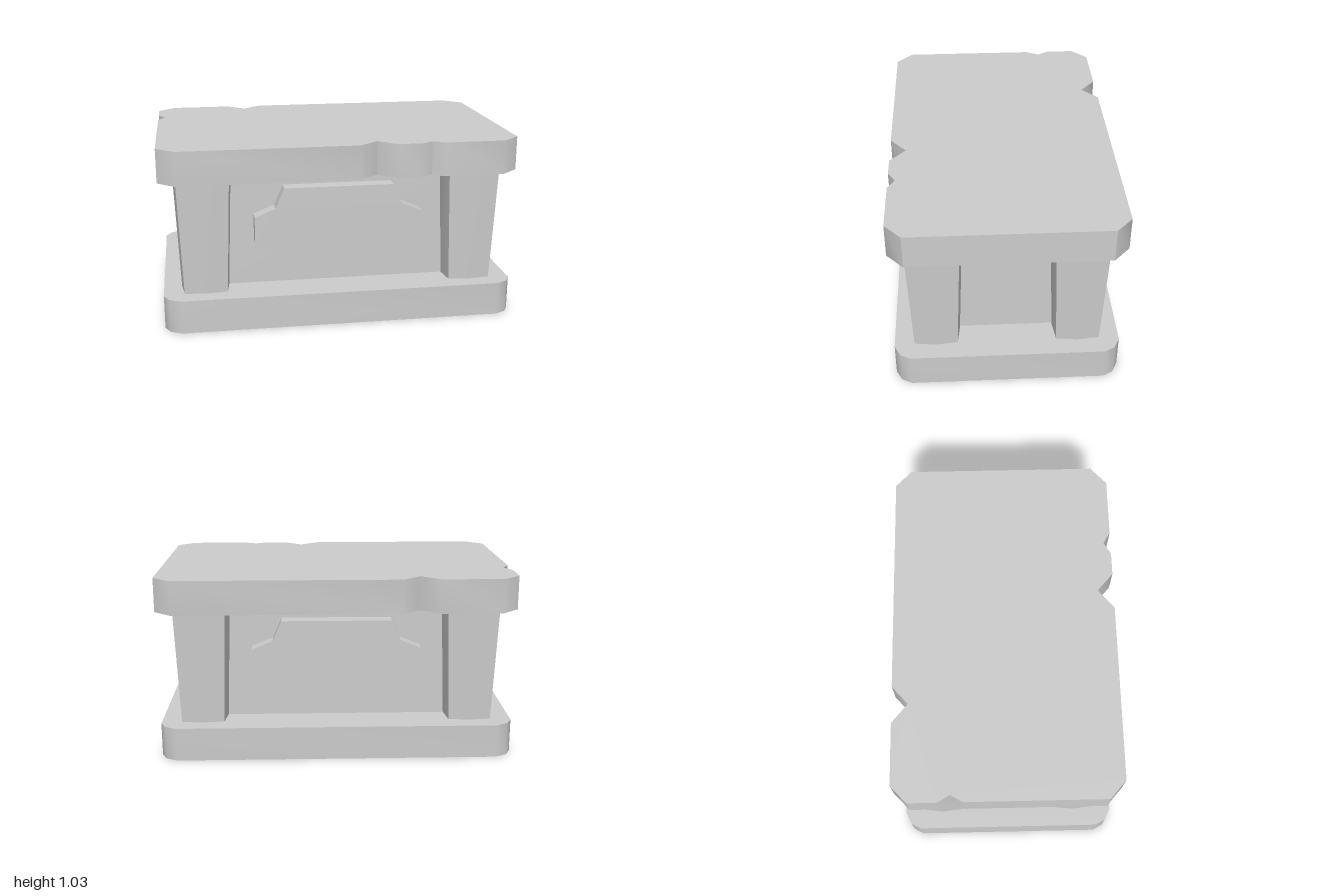
import * as THREE from 'three';
import { toCreasedNormals } from 'three/addons/utils/BufferGeometryUtils.js';

const material = new THREE.MeshStandardMaterial({ color: 0xcccccc });

function add(parent, name, geometry, crease = 0.8) {
  const mesh = new THREE.Mesh(toCreasedNormals(geometry, crease), material);
  mesh.name = name;
  parent.add(mesh);
  return mesh;
}

function extrude(points, depth) {
  const shape = new THREE.Shape(points.map(([x, y]) => new THREE.Vector2(x, y)));
  return new THREE.ExtrudeGeometry(shape, { depth, bevelEnabled: false });
}

// Horizontal slab from an (x, z) outline, rising from y = bottom
function slab(outline, bottom, height) {
  return extrude(outline.map(([x, z]) => [x, -z]), height)
    .rotateX(-Math.PI / 2)
    .translate(0, bottom, 0);
}

// Square pillar with slightly bowed sides, wider at the top
function pillarGeometry() {
  const g = new THREE.CylinderGeometry(1, 1, 0.65, 8, 1);
  const p = g.attributes.position;
  for (let i = 0; i < p.count; i++) {
    const x = p.getX(i), z = p.getZ(i), top = p.getY(i) > 0;
    const corner = Math.abs(x) > 0.1 && Math.abs(z) > 0.1;
    const r = corner ? (top ? 0.144 : 0.12) * Math.SQRT2 : (top ? 0.16 : 0.134);
    p.setX(i, x * r);
    p.setZ(i, z * r);
  }
  return g.translate(0, 0.515, 0);
}

export function createModel() {
  const model = new THREE.Group();
  model.name = 'stonePedestal';

  // Base plate with rounded corners
  const base = [];
  for (const [sx, sz] of [[1, 1], [1, -1], [-1, -1], [-1, 1]]) {
    const corner = [[0.9, 0.625], [0.965, 0.592], [0.995, 0.535]];
    if (sx * sz < 0) corner.reverse();
    base.push(...corner.map(([x, z]) => [x * sx, z * sz]));
  }
  add(model, 'basePlate', slab(base, 0, 0.19));

  // Top plate with cut corners and chipped edges
  const top = [
    [-0.9, 0.625], [0.09, 0.625], [0.2, 0.535], [0.3, 0.625],
    [0.43, 0.625], [0.5, 0.585], [0.565, 0.625], [0.9, 0.625],
    [1, 0.535], [1, -0.54], [0.905, -0.63],
    [-0.355, -0.63], [-0.455, -0.54], [-0.56, -0.63], [-0.905, -0.63],
    [-1, -0.54], [-1, -0.38], [-0.96, -0.31], [-1, -0.24], [-1, 0.535],
  ];
  add(model, 'topPlate', slab(top, 0.84, 0.19));

  // Inner block between the plates
  add(model, 'body', new THREE.BoxGeometry(1.5, 0.65, 0.79).translate(0, 0.515, 0));

  // Corner pillars
  for (const x of [-0.76, 0.76]) {
    for (const z of [-0.395, 0.395]) {
      add(model, 'pillar', pillarGeometry()).position.set(x, 0, z);
    }
  }

  // Raised panels on front and back
  const half = [
    [0.31, 0.285], [0.36, 0.405], [0.478, 0.455],
    [0.478, 0.605], [0.36, 0.652], [0.31, 0.767],
  ];
  const outline = [...half, ...half.map(([x, y]) => [-x, y]).reverse()];
  for (const [name, turn] of [['frontPanel', 0], ['backPanel', Math.PI]]) {
    add(model, name, extrude(outline, 0.12).translate(0, 0, 0.36), 0.5).rotation.y = turn;
  }

  return model;
}
